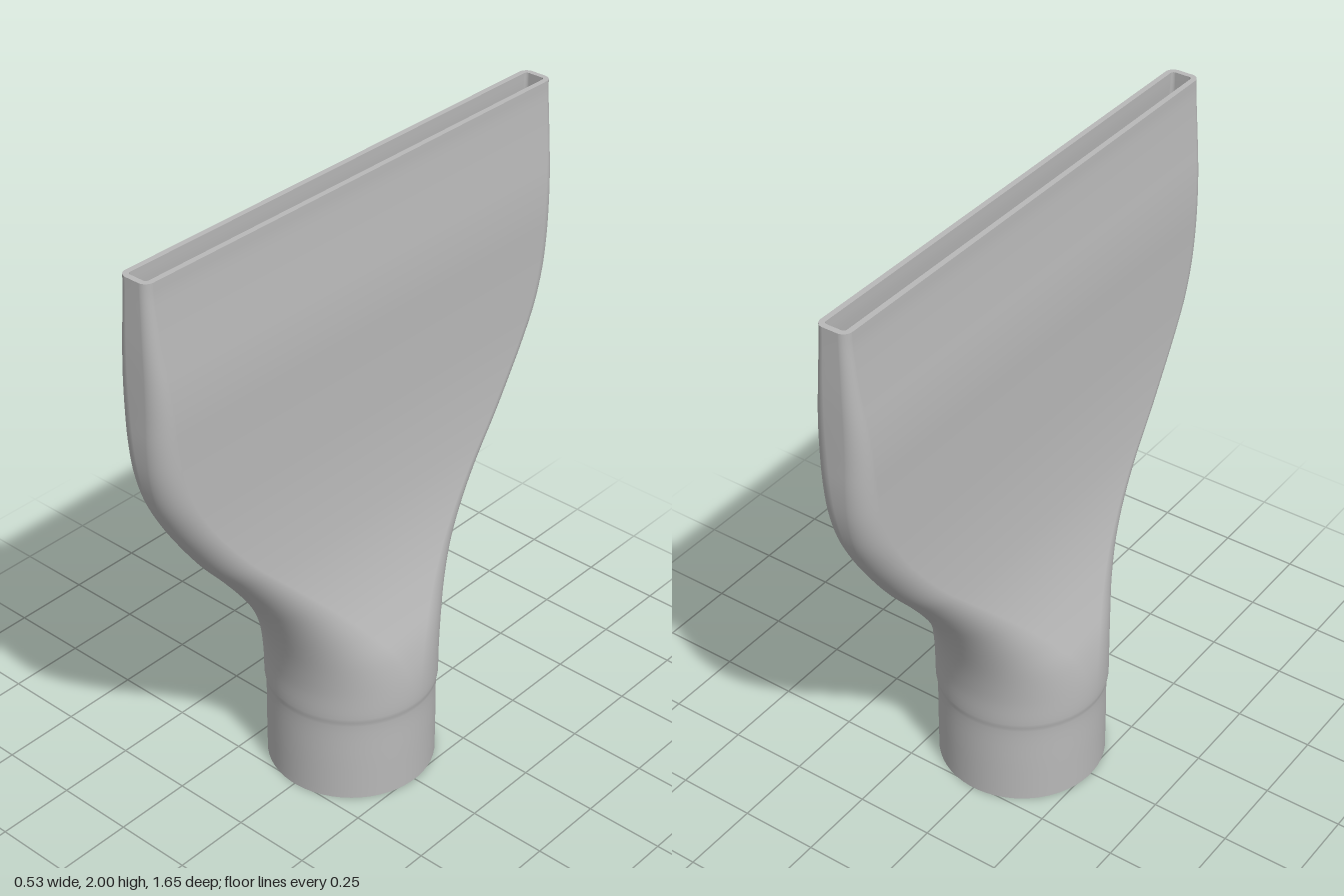
import * as THREE from 'three';

const WALL = 0.017;
const ARC = 14; // segments per rounded corner

// Outer half-sizes by height: half width in x, height, half width in z
const PROFILE = [
  [0.262, 0, 0.262], [0.262, 0.14, 0.262], [0.262, 0.28, 0.262], [0.267, 0.31, 0.266],
  [0.262, 0.4, 0.271], [0.24, 0.5, 0.29], [0.202, 0.6, 0.325], [0.166, 0.7, 0.375],
  [0.138, 0.8, 0.442], [0.118, 0.9, 0.52], [0.105, 1.0, 0.604], [0.096, 1.1, 0.675],
  [0.09, 1.2, 0.737], [0.087, 1.3, 0.785], [0.085, 1.4, 0.812], [0.084, 1.5, 0.822],
  [0.083, 1.6, 0.823], [0.077, 1.7, 0.823], [0.066, 1.8, 0.822], [0.056, 1.9, 0.819],
  [0.051, 1.96, 0.817], [0.05, 2.0, 0.816],
].map((p) => new THREE.Vector3(...p));

// Rounded rectangle that is a circle at the neck and a slot at the mouth
function section(p, inset) {
  const blend = THREE.MathUtils.smoothstep(p.y, 1.0, 2.0);
  const r = Math.min(p.x, p.z) * (1 - 0.45 * blend) - inset;
  const cx = p.x - inset - r;
  const cz = p.z - inset - r;
  const ring = [];
  [[1, 1], [-1, 1], [-1, -1], [1, -1]].forEach(([sx, sz], corner) => {
    for (let i = 0; i < ARC; i++) {
      const a = (corner + (i + 0.5) / ARC) * Math.PI / 2;
      ring.push([sx * cx + r * Math.cos(a), p.y, sz * cz + r * Math.sin(a)]);
    }
  });
  return ring;
}

// Skin a stack of closed rings; flip turns the faces inward
function skin(rings, flip = false) {
  const n = rings[0].length;
  const index = [];
  for (let j = 0; j < rings.length - 1; j++) {
    for (let i = 0; i < n; i++) {
      const a = j * n + i, b = j * n + (i + 1) % n;
      const c = a + n, d = b + n;
      if (flip) index.push(a, b, c, b, d, c);
      else index.push(a, c, b, b, c, d);
    }
  }
  const geometry = new THREE.BufferGeometry();
  geometry.setAttribute('position', new THREE.Float32BufferAttribute(rings.flat(2), 3));
  geometry.setIndex(index);
  geometry.computeVertexNormals();
  return geometry;
}

export function createModel() {
  const group = new THREE.Group();
  group.name = 'flatNozzle';
  const grey = new THREE.MeshStandardMaterial({ color: 0xb8b8b8 });
  grey.name = 'grey plastic';

  const add = (name, geometry) => {
    const mesh = new THREE.Mesh(geometry, grey);
    mesh.name = name;
    group.add(mesh);
  };

  const path = new THREE.CatmullRomCurve3(PROFILE).getPoints((PROFILE.length - 1) * 4);
  const outer = path.map((p) => section(p, 0));
  const inner = path.map((p) => section(p, WALL));
  const last = path.length - 1;

  add('outerShell', skin(outer));
  add('innerShell', skin(inner, true));
  // Flat rims closing the wall at both ends
  add('mouthRim', skin([outer[last], inner[last]]));
  add('neckRim', skin([inner[0], outer[0]]));
  return group;
}
